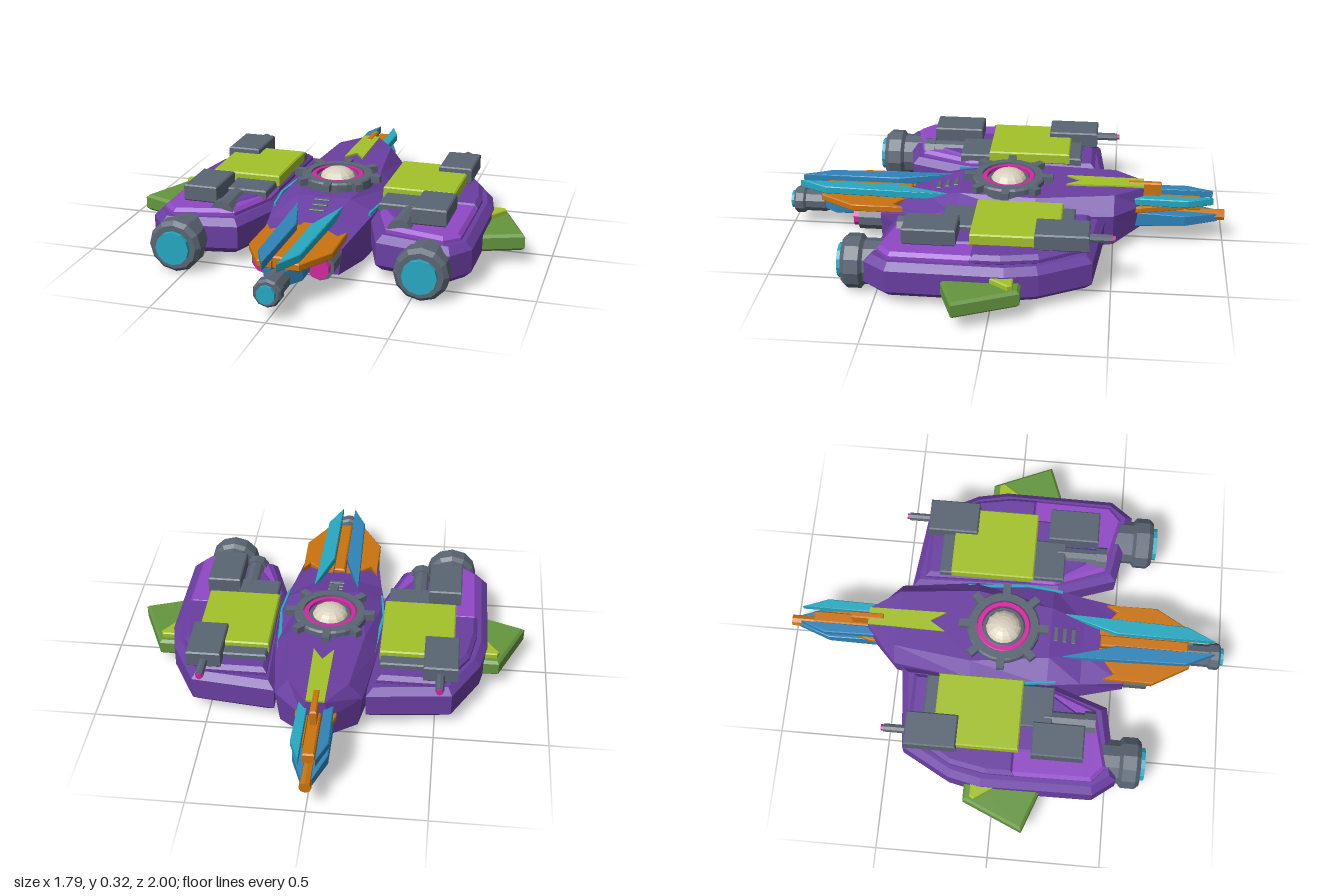
import * as THREE from 'three';

const material = (name, color) => Object.assign(new THREE.MeshStandardMaterial({ color, flatShading: true }), { name });
const M = {
  purple: material('purple', 0x6a3fa2), orchid: material('orchid', 0x9048c6), grey: material('grey', 0x5a6573),
  lime: material('lime', 0xa3c22a), green: material('green', 0x64963f), orange: material('orange', 0xca740e),
  cyan: material('cyan', 0x26a8c2), blue: material('blue', 0x2f84ba), magenta: material('magenta', 0xd028a0),
  cream: material('cream', 0xd8d0bc),
};

export function createModel() {
  const root = new THREE.Group();
  root.name = 'spacecraft';

  const add = (name, geometry, mat) => {
    const mesh = new THREE.Mesh(geometry, mat);
    mesh.name = name;
    root.add(mesh);
    return mesh;
  };
  // Plan outline of [x, z] points raised from y0 to y1, with chamfered rims
  const slab = (name, mat, points, y0, y1, bevel = 0.006, side = 1) => {
    const shape = new THREE.Shape(points.map(([x, z]) => new THREE.Vector2(x * side, -z)));
    const g = new THREE.ExtrudeGeometry(shape, {
      depth: y1 - y0 - 2 * bevel, bevelEnabled: bevel > 0, bevelThickness: bevel,
      bevelSize: bevel, bevelOffset: -bevel, bevelSegments: 1,
    });
    g.rotateX(-Math.PI / 2).translate(0, y0 + bevel, 0);
    return add(name, g, mat);
  };
  // Chamfered block given by its limits
  const block = (name, mat, x0, x1, z0, z1, y0, y1, side = 1, bevel = 0.006) =>
    slab(name, mat, [[x0, z0], [x1, z0], [x1, z1], [x0, z1]], y0, y1, bevel, side);
  // Turned part along z from [radius, z] points
  const turned = (name, mat, profile, x, y, sides = 10) => {
    const g = new THREE.LatheGeometry(profile.map(([r, z]) => new THREE.Vector2(r, z)), sides);
    g.rotateX(Math.PI / 2).translate(x, y, 0);
    return add(name, g, mat);
  };
  const rod = (name, mat, r, z0, z1, x, y, sides = 10) =>
    turned(name, mat, [[0, z0], [r, z0], [r, z1], [0, z1]], x, y, sides);
  // Hull from six-sided sections [z, bottom y, half width, middle y, half width, top y, half width]
  const loft = (name, mat, sections) => {
    const rings = sections.map(([z, yb, wb, ym, wm, yt, wt]) =>
      [[wb, yb, z], [wm, ym, z], [wt, yt, z], [-wt, yt, z], [-wm, ym, z], [-wb, yb, z]]);
    const p = [];
    const tri = (...v) => v.forEach((q) => p.push(...q));
    for (let k = 0; k < rings.length - 1; k++) {
      const a = rings[k], b = rings[k + 1];
      for (let i = 0; i < 6; i++) {
        const j = (i + 1) % 6;
        tri(a[i], a[j], b[j]);
        tri(a[i], b[j], b[i]);
      }
    }
    const back = rings[0], front = rings[rings.length - 1];
    for (let i = 1; i < 5; i++) {
      tri(front[0], front[i], front[i + 1]);
      tri(back[0], back[i + 1], back[i]);
    }
    const g = new THREE.BufferGeometry();
    g.setAttribute('position', new THREE.Float32BufferAttribute(p, 3));
    g.computeVertexNormals();
    return add(name, g, mat);
  };

  // Central hull
  loft('centralHull', M.purple, [
    [-0.63, 0.085, 0.04, 0.19, 0.055, 0.272, 0.04],
    [-0.5, 0.05, 0.17, 0.2, 0.19, 0.275, 0.13],
    [-0.15, 0.03, 0.23, 0.2, 0.235, 0.265, 0.17],
    [0.2, 0.03, 0.235, 0.2, 0.235, 0.25, 0.12],
    [0.35, 0.03, 0.22, 0.18, 0.21, 0.21, 0.08],
    [0.55, 0.04, 0.17, 0.16, 0.185, 0.175, 0.08],
  ]);
  slab('spineStripe', M.lime, [[-0.04, -0.63], [0.04, -0.63], [0.045, -0.28], [0, -0.35], [-0.045, -0.28]], 0.272, 0.281, 0);
  for (const z of [0.215, 0.255, 0.295]) block('deckVent', M.grey, -0.035, 0.035, z, z + 0.02, 0.21, 0.253 - (z - 0.2) * 0.25, 1, 0.003);

  // Turret ring, teeth and dome
  const zt = -0.015;
  const ring = (name, mat, r0, r1, y0, y1) => add(name, new THREE.LatheGeometry(
    [[r0, y0], [r1, y0], [r1, y1 - 0.008], [r1 - 0.008, y1], [r0, y1], [r0, y0]].map((q) => new THREE.Vector2(...q)), 24), mat).position.z = zt;
  ring('turretRing', M.grey, 0.122, 0.165, 0.245, 0.295);
  ring('turretGlow', M.magenta, 0.098, 0.124, 0.25, 0.29);
  ring('turretSeat', M.grey, 0.08, 0.099, 0.25, 0.28);
  for (let i = 0; i < 8; i++) {
    const tooth = add('ringTooth', new THREE.BoxGeometry(0.055, 0.032, 0.035).translate(0.175, 0.28, 0), M.grey);
    tooth.rotation.y = i * Math.PI / 4;
    tooth.position.z = zt;
  }
  const dome = add('dome', new THREE.SphereGeometry(0.082, 12, 6, 0, Math.PI * 2, 0, Math.PI / 2), M.cream);
  dome.scale.y = 0.65;
  dome.position.set(0, 0.267, zt);

  // Nose gun and tail rod
  turned('noseGun', M.grey, [[0, 0.5], [0.045, 0.5], [0.045, 0.82], [0.052, 0.84], [0.052, 0.93], [0.062, 0.94], [0.062, 0.975], [0.053, 0.985], [0, 0.985]], 0, 0.12);
  rod('noseGunLens', M.cyan, 0.04, 0.98, 1, 0, 0.12);
  block('noseStrip', M.orange, -0.026, 0.026, 0.43, 0.83, 0.16, 0.215);
  block('tailStrip', M.orange, -0.026, 0.026, -0.89, -0.55, 0.165, 0.215);
  block('tailClip', M.orange, -0.015, 0.015, -0.71, -0.56, 0.2, 0.285);
  rod('tailRod', M.orange, 0.026, -1, -0.6, 0, 0.135, 8);

  for (const s of [1, -1]) {
    const finMat = s > 0 ? M.cyan : M.blue;

    // Nose and tail fins
    slab('noseUpperFin', finMat, [[0.105, 0.25], [0.09, 0.82], [0.03, 0.95], [0.03, 0.5]], 0.2, 0.236, 0.004, s);
    slab('noseLowerFin', M.blue, [[0.03, 0.5], [0.085, 0.5], [0.085, 0.78], [0.03, 0.86]], 0.1, 0.168, 0.004, s);
    slab('noseWing', M.orange, [[0.03, 0.4], [0.15, 0.5], [0.18, 0.45], [0.182, 0.68], [0.09, 0.84], [0.03, 0.84]], 0.165, 0.197, 0.004, s);
    slab('tailUpperFin', finMat, [[0.035, -0.56], [0.075, -0.56], [0.08, -0.83], [0.035, -0.945]], 0.2, 0.236, 0.004, s);
    const lower = slab('tailLowerFin', M.blue, [[0.02, -0.5], [0.075, -0.5], [0.075, -0.82], [0.02, -0.97]], 0.09, 0.17, 0.004, s);
    const pos = lower.geometry.attributes.position;
    for (let i = 0; i < pos.count; i++) { // lower fin thins towards the tail
      const t = (-pos.getZ(i) - 0.5) / 0.47;
      pos.setY(i, 0.13 + (pos.getY(i) - 0.13) * (1 - 0.55 * t));
    }
    lower.geometry.computeVertexNormals();
    slab('tailWing', M.orange, [[0.03, -0.5], [0.088, -0.5], [0.088, -0.62], [0.03, -0.82]], 0.168, 0.197, 0.004, s);

    // Paired nose thrusters
    rod('noseThruster', M.grey, 0.062, 0.45, 0.655, s * 0.12, 0.115);
    rod('noseThrusterGlow', M.magenta, 0.047, 0.6, 0.68, s * 0.12, 0.115);

    // Side pod in layers
    slab('sidePod', M.purple, [[0.2, -0.46], [0.57, -0.42], [0.69, -0.2], [0.72, -0.06], [0.715, 0.44], [0.64, 0.54], [0.31, 0.48], [0.22, 0.22]], 0.045, 0.205, 0.03, s);
    slab('podDeck', M.purple, [[0.24, -0.4], [0.52, -0.4], [0.64, -0.2], [0.67, -0.04], [0.67, 0.09], [0.25, 0.09]], 0.19, 0.24, 0.018, s);
    slab('podFrontPanel', M.orchid, [[0.25, 0.07], [0.67, 0.07], [0.665, 0.43], [0.6, 0.49], [0.34, 0.43], [0.25, 0.2]], 0.19, 0.235, 0.015, s);
    slab('podFrontRidge', M.purple, [[0.27, 0.07], [0.56, 0.07], [0.56, 0.34], [0.36, 0.34], [0.27, 0.2]], 0.22, 0.243, 0.008, s);
    slab('hullTrim', M.cyan, [[0.2, -0.2], [0.22, -0.2], [0.243, 0.08], [0.225, 0.24], [0.215, 0.24], [0.233, 0.08]], 0.19, 0.212, 0, s);
    block('podHatch', M.lime, 0.245, 0.57, -0.28, 0.1, 0.235, 0.288, s);

    // Weapon housings and their fittings
    block('frontHousing', M.grey, 0.44, 0.592, 0.155, 0.385, 0.237, 0.312, s);
    block('rearHousing', M.grey, 0.44, 0.592, -0.405, -0.175, 0.237, 0.312, s);
    block('frontMount', M.grey, 0.26, 0.45, 0.09, 0.24, 0.22, 0.262, s);
    block('rearMount', M.grey, 0.25, 0.45, -0.335, -0.27, 0.22, 0.265, s);
    rod('frontBarrel', M.grey, 0.042, 0.2, 0.38, s * 0.4, 0.222);
    rod('frontMuzzle', M.grey, 0.055, 0.38, 0.43, s * 0.4, 0.215);
    rod('rearBarrel', M.grey, 0.019, -0.5, -0.38, s * 0.515, 0.268, 8);
    rod('rearBarrelTip', M.magenta, 0.014, -0.512, -0.49, s * 0.515, 0.268, 8);

    // Main engine
    turned('mainEngine', M.grey, [[0, 0.4], [0.085, 0.4], [0.1, 0.44], [0.1, 0.55], [0.118, 0.565], [0.118, 0.625], [0.1, 0.645], [0, 0.645]], s * 0.54, 0.12, 12);
    rod('mainEngineGlow', M.cyan, 0.075, 0.63, 0.665, s * 0.54, 0.12, 12);

    // Wing tip
    slab('sideWing', M.green, [[0.66, -0.13], [0.775, -0.13], [0.893, 0.14], [0.69, 0.215], [0.66, 0.2]], 0.07, 0.146, 0.012, s);
    slab('sideWingCap', M.lime, [[0.68, -0.1], [0.765, -0.1], [0.775, -0.08], [0.72, 0.0], [0.68, 0.0]], 0.13, 0.17, 0.005, s);
  }
  return root;
}
